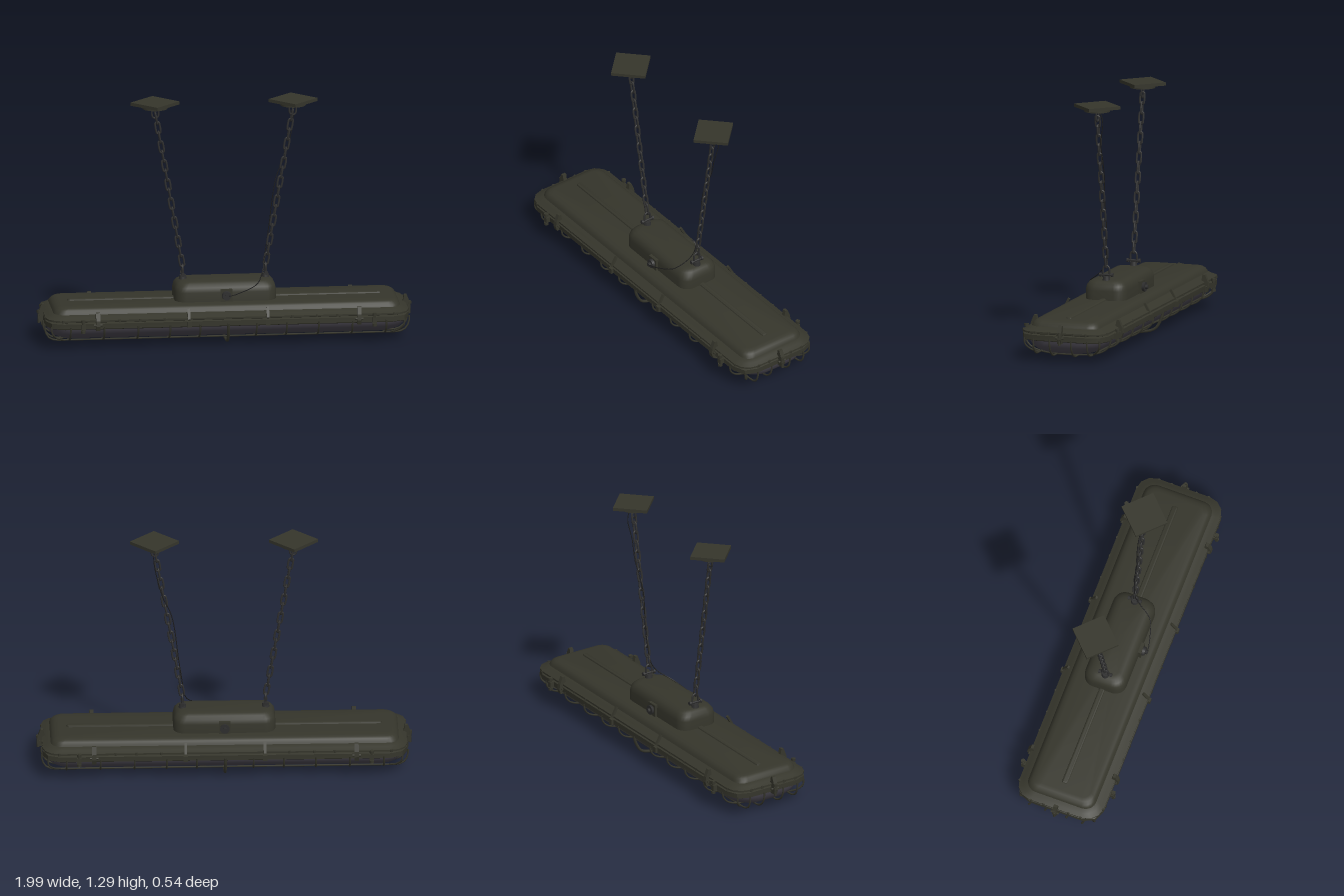
import * as THREE from 'three';
import { toCreasedNormals } from 'three/addons/utils/BufferGeometryUtils.js';

const mat = (name, color, side = THREE.FrontSide) => {
  const m = new THREE.MeshStandardMaterial({ color, side });
  m.name = name;
  return m;
};
const V = (x, y, z) => new THREE.Vector3(x, y, z);

export function createModel() {
  const olive = mat('olive paint', 0x35352b);
  const steel = mat('dark steel', 0x2e2e2e);
  const glassMat = mat('smoked glass', 0x45424b);
  const rubber = mat('black rubber', 0x1c1c1c);
  const root = new THREE.Group();
  root.name = 'hangingLamp';

  const add = (name, geo, material, x = 0, y = 0, z = 0, parent = root) => {
    const m = new THREE.Mesh(geo, material);
    m.name = name;
    m.position.set(x, y, z);
    parent.add(m);
    return m;
  };
  const tube = (pts, r, seg, sides = 6, tension = 0.5) =>
    new THREE.TubeGeometry(new THREE.CatmullRomCurve3(pts, false, 'catmullrom', tension), seg, r, sides);

  // Solid lofted through rounded rectangles [y, halfX, halfZ, cornerRadius], listed upwards
  const loft = (sections, n, crease = 0.6) => {
    const pos = [], idx = [], count = 4 * (n + 1);
    for (const [y, hx, hz, r] of sections)
      for (let q = 0; q < 4; q++)
        for (let i = 0; i <= n; i++) {
          const a = (q + i / n) * Math.PI / 2;
          const sx = q === 0 || q === 3 ? 1 : -1, sz = q < 2 ? 1 : -1;
          pos.push(sx * (hx - r) + r * Math.cos(a), y, sz * (hz - r) + r * Math.sin(a));
        }
    const last = (sections.length - 1) * count;
    const bottom = pos.length / 3, top = bottom + 1;
    pos.push(0, sections[0][0], 0, 0, sections[sections.length - 1][0], 0);
    for (let j = 0; j < count; j++) {
      const k = (j + 1) % count;
      for (let s = 0; s < last; s += count)
        idx.push(s + j, s + count + j, s + k, s + k, s + count + j, s + count + k);
      idx.push(bottom, j, k, top, last + k, last + j);
    }
    const g = new THREE.BufferGeometry();
    g.setAttribute('position', new THREE.Float32BufferAttribute(pos, 3));
    g.setIndex(idx);
    return toCreasedNormals(g, crease);
  };

  // Housing: chamfered flange, sloped skirt and rounded cover
  add('flange', loft([[0.115, 0.955, 0.232, 0.085], [0.12, 0.965, 0.24, 0.09],
    [0.147, 0.965, 0.24, 0.09], [0.151, 0.955, 0.232, 0.085]], 2), olive);
  add('skirt', loft([[0.15, 0.95, 0.222, 0.09], [0.156, 0.965, 0.238, 0.09], [0.165, 0.965, 0.238, 0.09],
    [0.175, 0.945, 0.215, 0.08], [0.186, 0.925, 0.197, 0.07]], 3), olive);
  add('cover', loft([[0.175, 0.925, 0.195, 0.06], [0.195, 0.92, 0.188, 0.06], [0.207, 0.91, 0.181, 0.055],
    [0.216, 0.895, 0.17, 0.05], [0.22, 0.875, 0.15, 0.04]], 5, 0.8), olive);
  add('coverRidge', loft([[0.215, 0.835, 0.018, 0.012], [0.226, 0.832, 0.014, 0.01],
    [0.23, 0.825, 0.008, 0.006]], 3), olive);

  // Junction box on top
  add('junctionBox', loft([[0.2, 0.27, 0.115, 0.06], [0.27, 0.27, 0.115, 0.06], [0.295, 0.265, 0.11, 0.06],
    [0.312, 0.252, 0.097, 0.055], [0.321, 0.235, 0.08, 0.045], [0.324, 0.215, 0.06, 0.035]], 6, 0.8), olive);

  // Diffuser bowl
  add('diffuser', loft([[0.04, 0.86, 0.09, 0.06], [0.046, 0.895, 0.135, 0.09], [0.06, 0.925, 0.172, 0.11],
    [0.083, 0.945, 0.198, 0.12], [0.105, 0.952, 0.21, 0.12], [0.125, 0.955, 0.214, 0.12]], 6, 1), glassMat);

  // Wire guard
  const cage = new THREE.Group();
  cage.name = 'wireGuard';
  root.add(cage);
  const rib = (x, r, low) => add('guardRib', tube([V(x, 0.13, -0.24), V(x, 0.09, -0.232), V(x, low + 0.025, -0.195),
    V(x, low + 0.005, -0.12), V(x, low, 0), V(x, low + 0.005, 0.12), V(x, low + 0.025, 0.195),
    V(x, 0.09, 0.232), V(x, 0.13, 0.24)], r, 32), olive, 0, 0, 0, cage);
  rib(0, 0.008, 0.008);
  for (const s of [-1, 1]) for (const x of [0.15, 0.31, 0.48, 0.66, 0.84]) rib(s * x, 0.005, 0.031);
  for (const z of [-0.15, -0.06, 0.06, 0.15]) {
    const low = Math.abs(z) > 0.1 ? 0.042 : 0.033;
    add('guardBar', tube([V(-0.97, 0.13, z), V(-0.967, 0.09, z), V(-0.945, 0.055, z), V(-0.9, low, z), V(-0.8, low, z),
      V(0, low, z), V(0.8, low, z), V(0.9, low, z), V(0.945, 0.055, z), V(0.967, 0.09, z), V(0.97, 0.13, z)],
    0.005, 80), olive, 0, 0, 0, cage);
  }
  // Guard wires at the chamfered corners
  for (const sx of [-1, 1]) for (const sz of [-1, 1])
    add('guardCorner', tube([V(sx * 0.94, 0.13, sz * 0.21), V(sx * 0.935, 0.09, sz * 0.207),
      V(sx * 0.91, 0.06, sz * 0.18), V(sx * 0.87, 0.042, sz * 0.15)], 0.005, 12), olive, 0, 0, 0, cage);

  // Clamps, eye bolts and rim screws
  const clampShape = new THREE.Shape();
  clampShape.moveTo(-0.02, 0.11);
  for (const [x, y] of [[0.014, 0.11], [0.022, 0.135], [0.018, 0.165], [0.002, 0.205], [-0.012, 0.205], [-0.02, 0.165]])
    clampShape.lineTo(x, y);
  const clampGeo = new THREE.ExtrudeGeometry(clampShape, { depth: 0.022, bevelEnabled: false });
  clampGeo.translate(0, 0, -0.011);
  const pinGeo = new THREE.CylinderGeometry(0.006, 0.006, 0.045, 8).rotateX(Math.PI / 2);
  const clamp = (x, z, turn) => {
    const g = new THREE.Group();
    g.name = 'clamp';
    g.position.set(x, 0, z);
    g.rotation.y = turn;
    add('clampLever', clampGeo, olive, 0, 0, 0, g);
    add('clampPin', pinGeo, olive, 0.008, 0.14, 0, g);
    root.add(g);
  };
  const boltGeo = new THREE.CylinderGeometry(0.007, 0.007, 0.07, 8);
  const headGeo = new THREE.CylinderGeometry(0.013, 0.013, 0.014, 6);
  const lugGeo = new THREE.BoxGeometry(0.024, 0.03, 0.035);
  const screwGeo = new THREE.CylinderGeometry(0.007, 0.007, 0.014, 8);
  const fingerGeo = new THREE.BoxGeometry(0.014, 0.06, 0.012).rotateX(-0.5);
  for (const s of [-1, 1]) {
    clamp(s * 0.97, 0, s > 0 ? 0 : Math.PI);
    for (const x of [-0.695, 0.695]) clamp(x, s * 0.237, -s * Math.PI / 2);
    for (const x of [-0.775, 0.775]) {
      add('boltLug', lugGeo, olive, x, 0.133, s * 0.245);
      add('rimBolt', boltGeo, olive, x, 0.137, s * 0.255);
      add('boltHead', headGeo, olive, x, 0.164, s * 0.255);
      add('boltNut', headGeo, olive, x, 0.108, s * 0.255);
    }
    for (const x of [-0.21, 0.21]) {
      add('hingeLug', lugGeo, olive, x, 0.133, s * 0.236);
      const finger = add('hingeFinger', fingerGeo, olive, x, 0.182, s * 0.226);
      if (s < 0) finger.rotation.y = Math.PI;
    }
    for (const x of [-0.88, -0.58, -0.47, -0.34, 0.34, 0.47, 0.58, 0.88])
      add('rimScrew', screwGeo, olive, x, 0.16, s * 0.234);
    for (const z of [-0.14, -0.07, 0.07, 0.14]) add('endScrew', screwGeo, olive, s * 0.962, 0.16, z);
    add('endBolt', boltGeo, olive, s * 0.985, 0.137, 0);
    add('endBoltHead', headGeo, olive, s * 0.985, 0.162, 0);

    // Cable entry on each face of the box
    add('entryPlate', new THREE.BoxGeometry(0.062, 0.066, 0.018), olive, 0, 0.255, s * 0.12);
    add('entryCollar', new THREE.CylinderGeometry(0.023, 0.026, 0.02, 16).rotateX(Math.PI / 2), steel, 0, 0.255, s * 0.134);
    add('entryNut', new THREE.CylinderGeometry(0.012, 0.012, 0.02, 6).rotateX(Math.PI / 2), steel, 0, 0.255, s * 0.147);
  }

  // Chain link: a torus with its two halves pulled apart
  const linkGeo = new THREE.TorusGeometry(0.0125, 0.0055, 8, 16);
  const p = linkGeo.attributes.position;
  for (let i = 0; i < p.count; i++) {
    const y = p.getY(i);
    if (Math.abs(y) > 1e-4) p.setY(i, y + Math.sign(y) * 0.0195);
  }
  linkGeo.computeVertexNormals();
  const shackleGeo = tube([V(0, 0, -0.018), V(0, 0.04, -0.018), V(0, 0.056, -0.012), V(0, 0.061, 0),
    V(0, 0.056, 0.012), V(0, 0.04, 0.018), V(0, 0, 0.018)], 0.005, 24, 8);
  const plateGeo = new THREE.BoxGeometry(0.184, 0.017, 0.184).rotateY(Math.PI / 4);
  const discGeo = new THREE.CylinderGeometry(0.068, 0.068, 0.018, 32);
  const shackleBaseGeo = new THREE.CylinderGeometry(0.017, 0.021, 0.022, 12);
  const pinRodGeo = new THREE.CylinderGeometry(0.006, 0.006, 0.07, 8).rotateX(Math.PI / 2);
  const pinHeadGeo = new THREE.CylinderGeometry(0.011, 0.011, 0.01, 8).rotateX(Math.PI / 2);
  for (const s of [-1, 1]) {
    const g = new THREE.Group();
    g.name = s > 0 ? 'leftChain' : 'rightChain';
    root.add(g);
    add('ceilingPlate', plateGeo, olive, s * 0.368, 1.2815, 0, g);
    add('ceilingDisc', discGeo, olive, s * 0.368, 1.265, 0, g);
    const hook = add('topShackle', shackleGeo, steel, s * 0.366, 1.262, 0, g);
    hook.rotation.set(Math.PI, Math.PI / 2, 0);
    add('shackleBase', shackleBaseGeo, steel, s * 0.22, 0.332, 0, g);
    add('bottomShackle', shackleGeo, steel, s * 0.221, 0.338, 0, g);
    add('shacklePin', pinRodGeo, steel, s * 0.221, 0.35, 0, g);
    for (const z of [-0.033, 0.033]) add('pinHead', pinHeadGeo, steel, s * 0.221, 0.35, z, g);
    for (let k = 0; k < 16; k++) {
      const link = add('chainLink', linkGeo, steel, s * (0.226 + 0.009 * k), 0.42 + 0.052 * k, 0, g);
      link.rotation.set(0, k % 2 ? Math.PI / 2 : 0, -s * 0.17, 'ZYX');
    }
  }

  // Supply cable from the front entry up the left chain
  add('supplyCable', tube([V(0, 0.255, 0.155), V(0.06, 0.268, 0.145), V(0.16, 0.305, 0.11), V(0.2, 0.36, 0.04),
    V(0.215, 0.43, 0.004), V(0.24, 0.6, -0.008), V(0.262, 0.78, -0.004), V(0.285, 0.88, -0.012),
    V(0.325, 0.97, -0.018), V(0.355, 1.08, -0.016), V(0.372, 1.18, -0.032), V(0.372, 1.23, -0.026),
    V(0.368, 1.26, -0.005)], 0.0025, 90, 6), rubber);
  return root;
}
